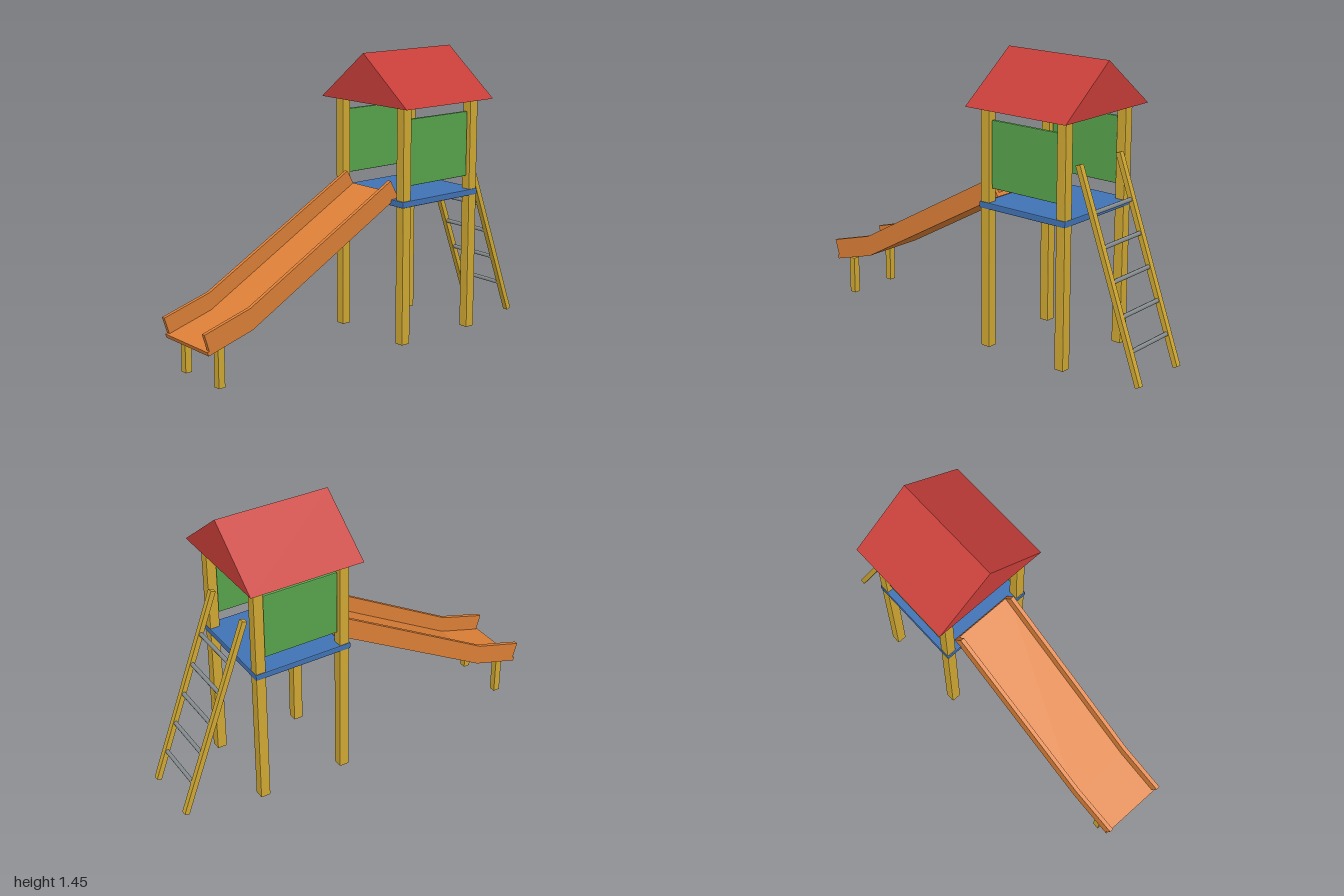
import * as THREE from 'three';
import { RoundedBoxGeometry } from 'three/addons/geometries/RoundedBoxGeometry.js';

const paint = (name, color) => {
  const m = new THREE.MeshStandardMaterial({ color });
  m.name = name;
  return m;
};

export function createModel() {
  const root = new THREE.Group();
  root.name = 'playgroundSlide';
  const wood = paint('yellowWood', 0xd0a833);
  const orange = paint('orangePlastic', 0xdc7f37);
  const red = paint('redRoof', 0xc83e39);
  const blue = paint('blueDeck', 0x4072b4);
  const green = paint('greenPanel', 0x57a34c);
  const grey = paint('greyMetal', 0x878d8f);

  const add = (name, geometry, material, x = 0, y = 0, z = 0) => {
    const mesh = new THREE.Mesh(geometry, material);
    mesh.name = name;
    mesh.position.set(x, y, z);
    root.add(mesh);
    return mesh;
  };

  // Box with small flat bevels
  const bevelBox = (w, h, d, r = 0.005) => {
    const g = new RoundedBoxGeometry(w, h, d, 1, r);
    const flat = g.index ? g.toNonIndexed() : g;
    flat.computeVertexNormals();
    return flat;
  };

  // Prism from a 2D outline, centred along its depth
  const prism = (points, depth) => {
    const shape = new THREE.Shape(points.map(([a, b]) => new THREE.Vector2(a, b)));
    return new THREE.ExtrudeGeometry(shape, { depth, bevelEnabled: false })
      .translate(0, 0, -depth / 2);
  };
  // Outline given as (z, y), running along x
  const sideProfile = (points, width) => prism(points, width).rotateY(-Math.PI / 2);

  // Tower: posts, side panels, deck and gable roof
  for (const s of [1, -1]) {
    for (const z of [-0.146, -0.599]) {
      add('post', bevelBox(0.052, 1.195, 0.052), wood, s * 0.227, 0.605, z);
    }
    add('sidePanel', bevelBox(0.02, 0.33, 0.392), green, s * 0.227, 0.975, -0.372);
  }
  add('deck', bevelBox(0.514, 0.032, 0.514), blue, 0, 0.726, -0.371);
  add('roof', prism([[-0.315, 1.203], [0.315, 1.203], [0, 1.447]], 0.588), red, 0, 0, -0.374);

  // Slide: bent bed with a wall on each side
  add('slideBed', sideProfile([
    [-0.158, 0.751], [0.735, 0.255], [0.98, 0.185],
    [0.986, 0.204], [0.739, 0.275], [-0.148, 0.768],
  ], 0.346), orange);
  for (const s of [1, -1]) {
    add('slideWall', sideProfile([
      [-0.148, 0.768], [0.739, 0.275], [0.975, 0.206],
      [1.0, 0.288], [0.745, 0.361], [-0.11, 0.835],
    ], 0.02), orange, s * 0.163);
    add('slideLeg', new THREE.BoxGeometry(0.035, 0.195, 0.035), wood, s * 0.135, 0.105, 0.897);
  }

  // Ladder leaning against the back
  const top = new THREE.Vector2(-0.627, 0.988);
  const foot = new THREE.Vector2(-0.986, 0.006);
  const lean = Math.atan2(top.x - foot.x, top.y - foot.y);
  const middle = top.clone().add(foot).multiplyScalar(0.5);
  for (const s of [1, -1]) {
    const rail = add('ladderRail', new THREE.BoxGeometry(0.028, top.distanceTo(foot), 0.026),
      wood, s * 0.154, middle.y, middle.x);
    rail.rotation.x = lean;
  }
  for (let i = 0; i < 5; i++) {
    const y = 0.16 + i * 0.1535;
    const z = foot.x + (top.x - foot.x) * (y - foot.y) / (top.y - foot.y);
    const rung = new THREE.CylinderGeometry(0.011, 0.011, 0.285, 8).rotateZ(Math.PI / 2);
    add('ladderRung', rung, grey, 0, y, z);
  }
  return root;
}
